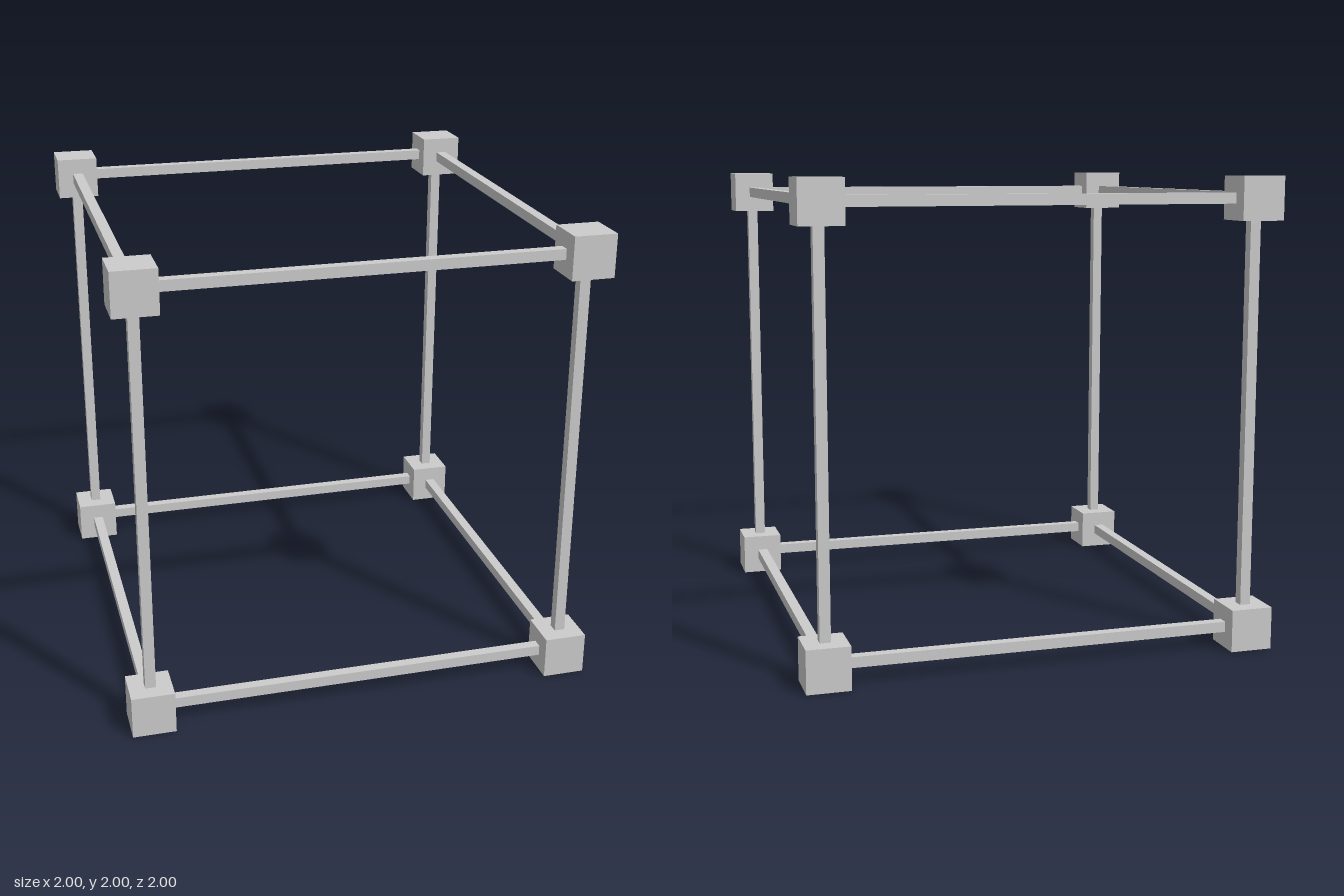
import * as THREE from 'three';

export function createModel() {
  const model = new THREE.Group();
  model.name = 'cubeFrame';
  const material = new THREE.MeshStandardMaterial({ color: 0xcccccc, flatShading: true });

  const block = 0.182;            // corner block edge
  const rod = 0.045;              // rod thickness
  const reach = 1 - block / 2;    // centre line of the frame
  const span = 2 * reach - block; // clear length between blocks

  const addBox = (name, size, position) => {
    const mesh = new THREE.Mesh(new THREE.BoxGeometry(...size), material);
    mesh.name = name;
    mesh.position.set(position[0], position[1] + 1, position[2]);
    model.add(mesh);
  };

  // Corner blocks
  for (const x of [-reach, reach])
    for (const y of [-reach, reach])
      for (const z of [-reach, reach])
        addBox('cornerBlock', [block, block, block], [x, y, z]);

  // Square rods, four along each axis
  ['crossRod', 'uprightRod', 'depthRod'].forEach((name, axis) => {
    const size = [rod, rod, rod];
    size[axis] = span;
    for (const a of [-reach, reach])
      for (const b of [-reach, reach]) {
        const position = [0, 0, 0];
        position[(axis + 1) % 3] = a;
        position[(axis + 2) % 3] = b;
        addBox(name, size, position);
      }
  });

  return model;
}
